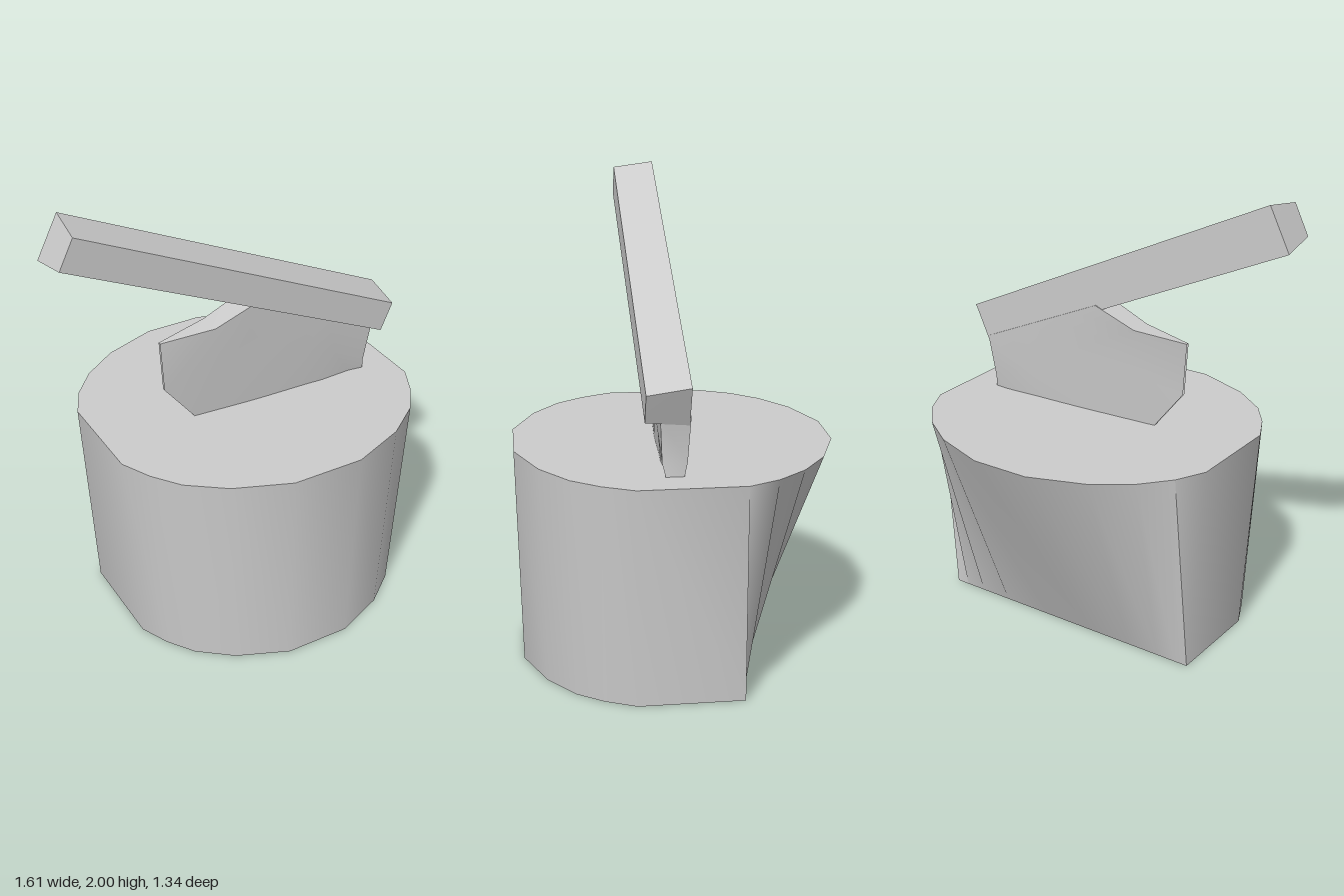
import * as THREE from 'three';
import { toCreasedNormals } from 'three/addons/utils/BufferGeometryUtils.js';

// Skin a list of equal-length rings of [x, y, z]; optionally close either end with a fan.
function loft(name, rings, crease, capFirst = true, capLast = true) {
  const n = rings[0].length;
  const pos = [];
  const tri = (...pts) => pts.forEach((p) => pos.push(...p));
  for (let r = 0; r < rings.length - 1; r++) {
    const a = rings[r], b = rings[r + 1];
    for (let i = 0; i < n; i++) {
      const j = (i + 1) % n;
      tri(a[i], a[j], b[i]);
      tri(a[j], b[j], b[i]);
    }
  }
  const cap = (ring, flip) => {
    const c = [0, 1, 2].map((k) => ring.reduce((s, p) => s + p[k], 0) / n);
    for (let i = 0; i < n; i++) {
      const j = (i + 1) % n;
      if (flip) tri(c, ring[j], ring[i]);
      else tri(c, ring[i], ring[j]);
    }
  };
  if (capFirst) cap(rings[0], true);
  if (capLast) cap(rings[rings.length - 1], false);
  const geometry = new THREE.BufferGeometry();
  geometry.setAttribute('position', new THREE.Float32BufferAttribute(pos, 3));
  const mesh = new THREE.Mesh(
    toCreasedNormals(geometry, crease),
    new THREE.MeshStandardMaterial({ color: 0xcccccc, side: THREE.DoubleSide })
  );
  mesh.name = name;
  return mesh;
}

// Chopping block: faceted round top, narrower base with its back cut flat
function makeStump() {
  const half = [
    [0.13, -0.67], [0.37, -0.585], [0.53, -0.475], [0.635, -0.355], [0.7, -0.225],
    [0.703, 0.21], [0.64, 0.34], [0.555, 0.455], [0.4, 0.57], [0.158, 0.665],
  ];
  const outline = [...half, ...half.map(([x, z]) => [-x, z]).reverse()];
  const top = outline.map(([x, z]) => [0.1 + x, 0.935, z]);
  const bottom = outline.map(([x, z]) => [0.1 + x * 0.907, 0, z < 0 ? -0.235 : z * 0.97]);
  return loft('stump', [top, bottom], 1.1);
}

// Handle: tilted bar, slightly smaller on its front face
function makeHandle() {
  const back = [[0.75, 1.313], [-0.72, 2], [-0.81, 1.82], [0.675, 1.147]];
  const front = [[0.738, 1.285], [-0.735, 1.975], [-0.797, 1.848], [0.685, 1.164]];
  return loft('handle', [
    back.map(([x, y]) => [x, y, -0.01]),
    front.map(([x, y]) => [x, y, 0.165]),
  ], 0.3);
}

// Axe head: thick at the handle, flaring and thinning to a curved edge sunk in the block
function makeAxeHead() {
  const edge = [[-0.335, 1.34], [-0.32, 1.11], [-0.18, 0.935], [0, 0.76], [0.35, 0.68], [0.68, 0.8]];
  const line = (x0, y0, x1, y1) => edge.map((_, i) => {
    const t = i / (edge.length - 1);
    return [x0 + (x1 - x0) * t, y0 + (y1 - y0) * t];
  });
  const ring = (points, thickness) => [
    ...points.map(([x, y]) => [x, y, 0.045 - thickness / 2]),
    ...points.map(([x, y]) => [x, y, 0.045 + thickness / 2]).reverse(),
  ];
  return loft('axeHead', [
    ring(line(0.09, 1.44, 0.68, 1.18), 0.12),
    ring(line(-0.1, 1.365, 0.65, 0.99), 0.1),
    ring(edge, 0.012),
  ], 0.6, true, false);
}

export function createModel() {
  const group = new THREE.Group();
  group.name = 'axeInStump';
  group.add(makeStump(), makeHandle(), makeAxeHead());
  return group;
}
